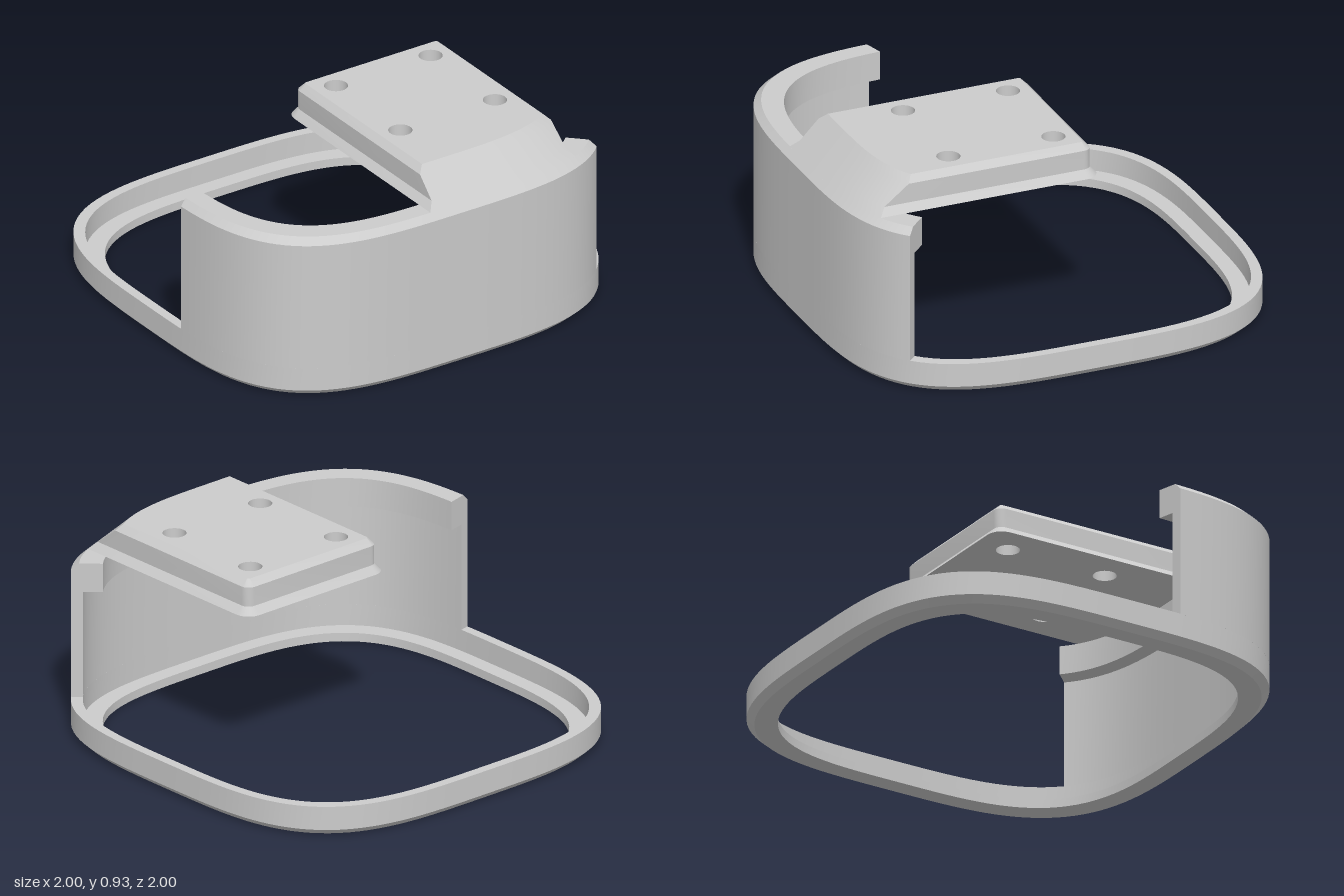
import * as THREE from 'three';
import { mergeGeometries, toCreasedNormals } from 'three/addons/utils/BufferGeometryUtils.js';

const N = 3.5; // exponent of the rounded-square outline
const material = new THREE.MeshStandardMaterial({ color: 0xcccccc });

function buildGeometry(positions, index) {
  const g = new THREE.BufferGeometry();
  g.setAttribute('position', new THREE.Float32BufferAttribute(positions, 3));
  g.setIndex(index);
  g.computeVertexNormals();
  return g;
}

function makeMesh(name, geometry) {
  const mesh = new THREE.Mesh(geometry, material);
  mesh.name = name;
  return mesh;
}

// Point on the rounded square at angle t, scaled by s, at height y
function outlinePoint(t, s, y) {
  const c = Math.cos(t), d = Math.sin(t);
  const r = s * Math.pow(Math.abs(c) ** N + Math.abs(d) ** N, -1 / N);
  return [r * c, y, r * d];
}

// Front z of the rounded square scaled by s, at position x
const frontZ = (x, s) => s * Math.pow(1 - Math.abs(x / s) ** N, 1 / N);

// Sweep a [scale, y] profile along the outline, smooth along it and sharp across it
function sweep(profile, start, end, steps, closed) {
  const parts = [];
  const count = closed ? steps : steps + 1;
  profile.forEach((p, k) => {
    const q = profile[(k + 1) % profile.length];
    const pos = [], index = [];
    for (let i = 0; i < count; i++) {
      const t = start + (end - start) * i / steps;
      pos.push(...outlinePoint(t, ...p), ...outlinePoint(t, ...q));
    }
    for (let i = 0; i < steps; i++) {
      const a = 2 * i, b = 2 * ((i + 1) % count);
      index.push(a, a + 1, b, b, a + 1, b + 1);
    }
    parts.push(buildGeometry(pos, index));
  });
  if (!closed) {
    const faces = THREE.ShapeUtils.triangulateShape(profile.map(p => new THREE.Vector2(...p)), []);
    for (const [t, flip] of [[start, true], [end, false]]) {
      const pos = profile.flatMap(p => outlinePoint(t, ...p));
      parts.push(buildGeometry(pos, faces.flatMap(f => flip ? [f[0], f[2], f[1]] : f)));
    }
  }
  return mergeGeometries(parts);
}

// Plate outline as [x, z], counter-clockwise from above; grow widens the sides and back
function plateOutline(grow, scale) {
  const x0 = -grow, x1 = 0.5 + grow, back = -grow, r = grow - 0.09;
  const pts = [];
  for (let i = 0; i <= 24; i++) {
    const x = x0 + (x1 - x0) * i / 24;
    pts.push([x, frontZ(x, scale)]);
  }
  for (const [cx, from] of [[x1 - r, 0], [x0 + r, Math.PI / 2]]) {
    for (let i = 0; i <= 5; i++) {
      const a = from + Math.PI / 2 * i / 5;
      pts.push([cx + r * Math.cos(a), back + r - r * Math.sin(a)]);
    }
  }
  return pts;
}

function createPlate() {
  const group = new THREE.Group();
  group.name = 'mountingPlate';
  const holes = [[0, 0], [0.5, 0], [0, 0.5], [0.5, 0.5]];
  const radius = 0.053;
  const low = 0.775, high = 0.93;
  // [height, sideways growth]; the front slopes back at 45 degrees
  const layers = [[low, 0.16], [0.81, 0.13], [0.9, 0.13], [high, 0.1]]
    .map(([y, grow]) => ({ y, pts: plateOutline(grow, 1.745 - y) }));

  // Sloped and bevelled sides
  const pos = layers.flatMap(l => l.pts.flatMap(([x, z]) => [x, l.y, z]));
  const n = layers[0].pts.length, index = [];
  for (let k = 0; k < layers.length - 1; k++) {
    for (let i = 0; i < n; i++) {
      const a = k * n + i, b = k * n + (i + 1) % n;
      index.push(a, b, a + n, b, b + n, a + n);
    }
  }
  group.add(makeMesh('plateSides', toCreasedNormals(buildGeometry(pos, index), 0.5)));

  // Top and bottom faces with screw holes
  for (const [name, layer, up] of [['plateTop', layers[3], true], ['plateBottom', layers[0], false]]) {
    const sign = up ? -1 : 1;
    const shape = new THREE.Shape(layer.pts.map(([x, z]) => new THREE.Vector2(x, sign * z)));
    for (const [x, z] of holes) {
      shape.holes.push(new THREE.Path().absarc(x, sign * z, radius, 0, Math.PI * 2, true));
    }
    const geo = new THREE.ShapeGeometry(shape, 16);
    geo.rotateX(sign * Math.PI / 2).translate(0, layer.y, 0);
    group.add(makeMesh(name, geo));
  }

  // Inside walls of the holes
  const boreMaterial = material.clone();
  boreMaterial.side = THREE.BackSide;
  for (const [x, z] of holes) {
    const bore = makeMesh('screwHole', new THREE.CylinderGeometry(radius, radius, high - low, 32, 1, true));
    bore.material = boreMaterial;
    bore.position.set(x, (low + high) / 2, z);
    group.add(bore);
  }
  return group;
}

export function createModel() {
  const model = new THREE.Group();
  model.name = 'bracket';

  // Full base ring: bevelled foot, inner ledge and thin outer lip
  const ring = [[0.97, 0], [1, 0.03], [1, 0.14], [0.955, 0.14], [0.955, 0.04], [0.88, 0.04], [0.88, 0]];
  model.add(makeMesh('baseRing', sweep(ring, 0, Math.PI * 2, 160, true)));

  // Partial front wall with a thick bevelled flange at its top
  const wall = [[1, 0.14], [1, 0.745], [0.97, 0.775], [0.88, 0.775], [0.88, 0.64], [0.955, 0.64], [0.955, 0.14]];
  model.add(makeMesh('frontWall', sweep(wall, Math.PI / 4, Math.PI * 165.3 / 180, 64, false)));

  model.add(createPlate());
  return model;
}
